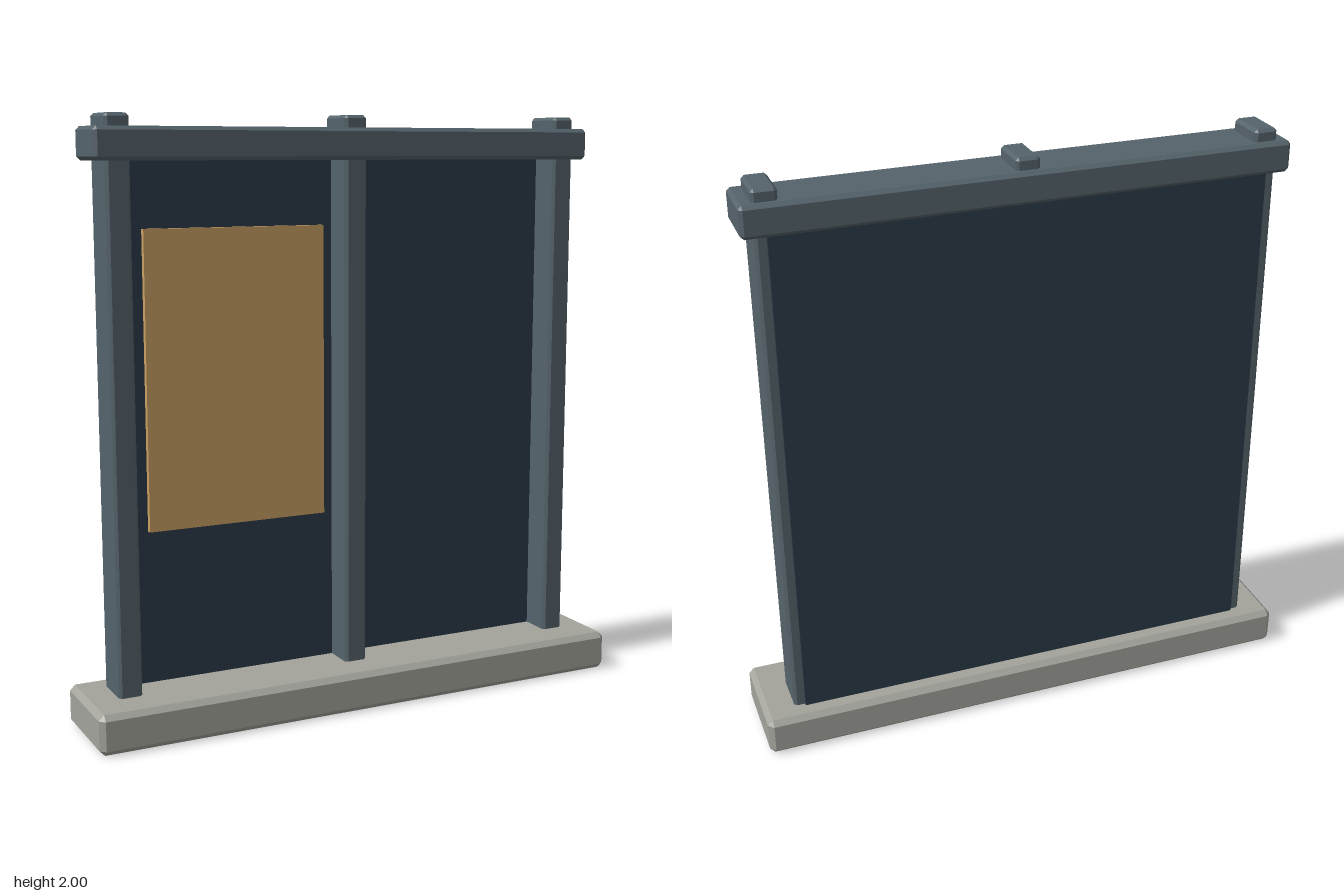
import * as THREE from 'three';
import { ConvexGeometry } from 'three/addons/geometries/ConvexGeometry.js';

const paint = (color) => new THREE.MeshStandardMaterial({ color });

// Box with every edge cut by a flat chamfer c, given its min and max corners
function chamferBox(min, max, c) {
  const size = max.map((v, i) => v - min[i]);
  const centre = max.map((v, i) => (v + min[i]) / 2);
  const points = [];
  for (const sx of [-1, 1]) for (const sy of [-1, 1]) for (const sz of [-1, 1]) {
    for (let axis = 0; axis < 3; axis++) {
      const p = [sx, sy, sz].map((s, i) => centre[i] + s * (size[i] / 2 - (i === axis ? 0 : c)));
      points.push(new THREE.Vector3(...p));
    }
  }
  return new ConvexGeometry(points);
}

// Sharp-edged box, given its min and max corners
function plainBox(min, max) {
  const geometry = new THREE.BoxGeometry(...max.map((v, i) => v - min[i]));
  return geometry.translate(...max.map((v, i) => (v + min[i]) / 2));
}

export function createModel() {
  const model = new THREE.Group();
  const steel = paint(0x55636b);
  const stone = paint(0xa3a39c);
  const navy = paint(0x2b3a47);
  const tan = paint(0xc99f62);

  const add = (name, geometry, material) => {
    const mesh = new THREE.Mesh(geometry, material);
    mesh.name = name;
    model.add(mesh);
  };

  // Stone plinth
  add('base', chamferBox([-0.963, 0, -0.175], [0.963, 0.135, 0.175], 0.018), stone);

  // Three posts that run up through the top beam
  [['rightPost', -0.817], ['middlePost', 0], ['leftPost', 0.817]].forEach(([name, x]) => {
    add(name, chamferBox([x - 0.04, 0.06, -0.105], [x + 0.04, 2, 0.045], 0.01), steel);
  });

  // Top beam
  add('topBeam', chamferBox([-0.9, 1.855, -0.128], [0.9, 1.96, 0.07], 0.012), steel);

  // Back panel and the sheet mounted on it
  add('backPanel', plainBox([-0.82, 0.1, -0.115], [0.82, 1.9, -0.065]), navy);
  add('noticeSheet', plainBox([-0.71, 0.653, -0.066], [-0.078, 1.64, -0.045]), tan);

  return model;
}
